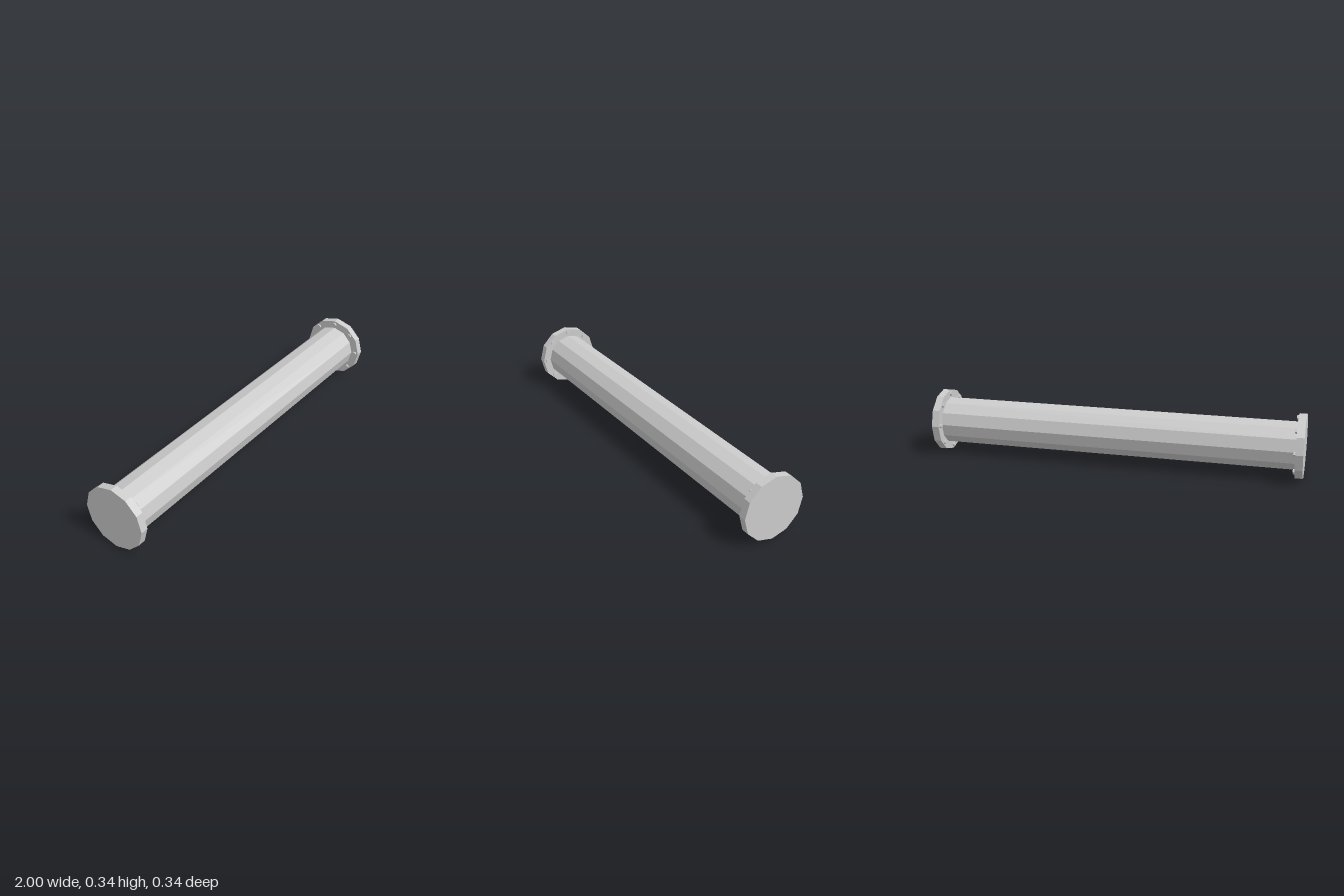
import * as THREE from 'three';

const RADIUS = 0.171;       // flange radius, also the axis height
const FLANGE = 0.04;        // flange thickness
const BOLTS = 8;
const BOLT_RING = 0.149;

export function createModel() {
  const model = new THREE.Group();
  model.name = 'flangedPipe';
  const material = new THREE.MeshStandardMaterial({ color: 0xcccccc, flatShading: true });

  // Faceted cylinder lying along x
  const addCylinder = (parent, name, radius, length, sides, x, y = 0, z = 0) => {
    const geometry = new THREE.CylinderGeometry(radius, radius, length, sides);
    geometry.rotateZ(Math.PI / 2);
    const mesh = new THREE.Mesh(geometry, material);
    mesh.name = name;
    mesh.position.set(x, y, z);
    parent.add(mesh);
  };

  // Pipe body
  addCylinder(model, 'pipe', 0.127, 2 - 2 * FLANGE, 12, 0, RADIUS);

  // Mirrored end flanges with a ring of bolt heads on the inner face
  for (const side of [-1, 1]) {
    const end = new THREE.Group();
    end.name = side > 0 ? 'leftEnd' : 'rightEnd';
    end.position.y = RADIUS;
    addCylinder(end, 'flange', RADIUS, FLANGE, 12, side * (1 - FLANGE / 2));
    for (let i = 0; i < BOLTS; i++) {
      const a = (i / BOLTS) * Math.PI * 2;
      addCylinder(end, 'bolt', 0.012, 0.02, 6, side * (1 - FLANGE),
        BOLT_RING * Math.cos(a), BOLT_RING * Math.sin(a));
    }
    model.add(end);
  }
  return model;
}
